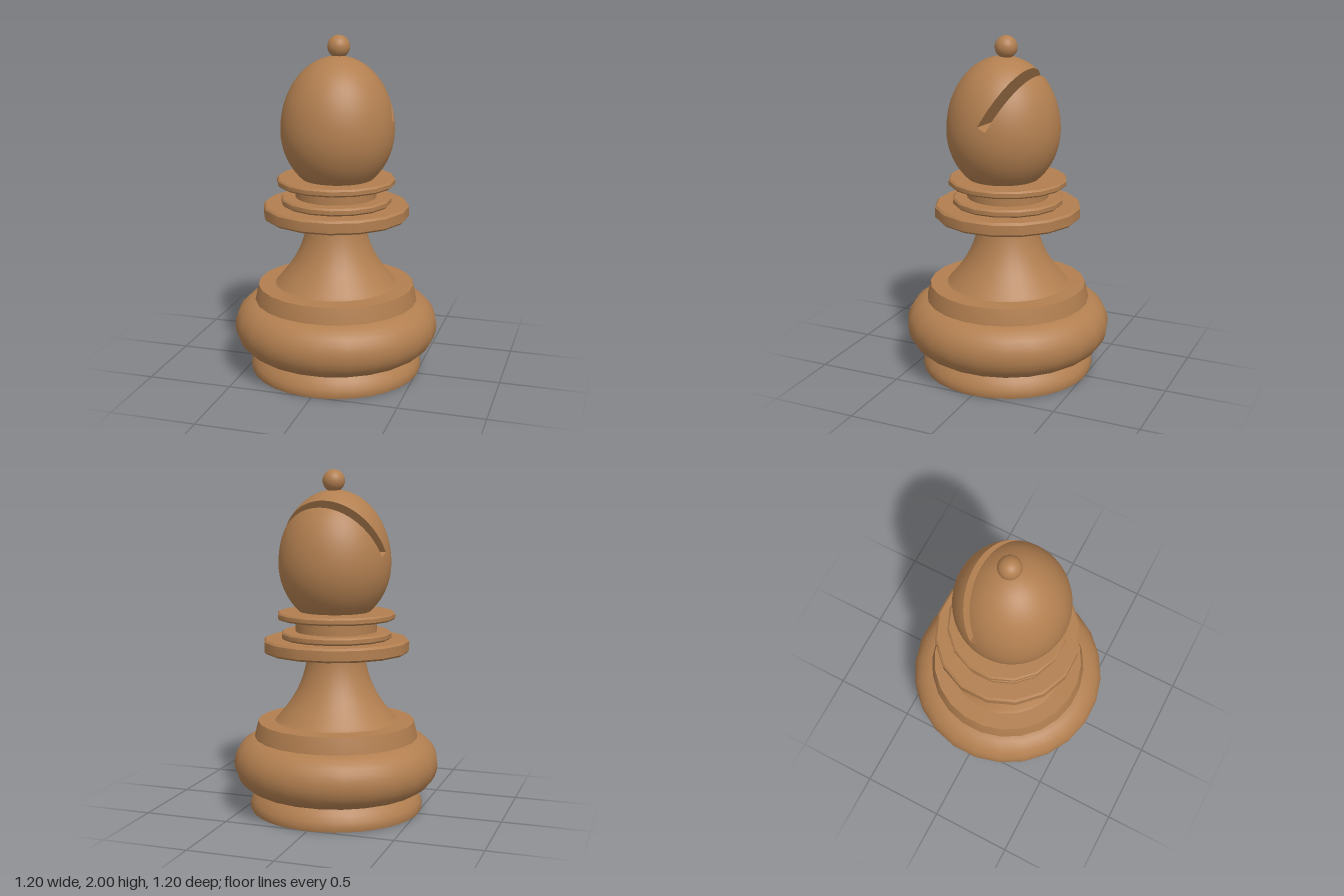
import * as THREE from 'three';
import { toCreasedNormals } from 'three/addons/utils/BufferGeometryUtils.js';

const wood = new THREE.MeshStandardMaterial({ color: 0xb27f50 });
wood.name = 'warm wood';

// Turned part from [radius, height] points, listed bottom to top
function turned(name, profile, sides) {
  const points = profile.map(([r, y]) => new THREE.Vector2(r, y));
  const lathe = new THREE.LatheGeometry(points, sides, Math.PI / sides);
  const mesh = new THREE.Mesh(toCreasedNormals(lathe, 0.6), wood);
  mesh.name = name;
  return mesh;
}

// Flat disc with a small bevel on both rims
function disc(name, r, y0, y1, bevel = 0.01) {
  return turned(name, [[0, y0], [r - bevel, y0], [r, y0 + bevel], [r, y1 - bevel], [r - bevel, y1], [0, y1]], 16);
}

// Keep the part of a polygon in front of a plane
function clip(poly, plane) {
  const out = [];
  poly.forEach((a, i) => {
    const b = poly[(i + 1) % poly.length];
    const da = plane.distanceToPoint(a.p), db = plane.distanceToPoint(b.p);
    if (da >= 0) out.push(a);
    if ((da >= 0) !== (db >= 0)) {
      const t = da / (da - db);
      out.push({ p: a.p.clone().lerp(b.p, t), n: a.n.clone().lerp(b.n, t).normalize() });
    }
  });
  return out;
}

// Egg-shaped head with a slanted slot cut through its back
function slottedHead() {
  const profile = [];
  const start = -Math.asin(0.285 / 0.365);
  for (let i = 0; i <= 28; i++) {
    const a = start + (Math.PI / 2 - start) * i / 28;
    profile.push(new THREE.Vector2(Math.max(0, 0.33 * Math.cos(a)), 1.46 + (a < 0 ? 0.365 : 0.425) * Math.sin(a)));
  }
  const egg = new THREE.LatheGeometry(profile, 48).translate(0.015, 0, 0.02);
  const { position, normal } = egg.attributes;
  const polys = [];
  for (let i = 0; i < egg.index.count; i += 3) {
    polys.push([0, 1, 2].map(k => {
      const v = egg.index.getX(i + k);
      return {
        p: new THREE.Vector3().fromBufferAttribute(position, v),
        n: new THREE.Vector3().fromBufferAttribute(normal, v),
      };
    }));
  }

  // Slot frame: across, up along the slot, and through its thickness
  const turn = new THREE.Vector3(0, 1, 0);
  const across = new THREE.Vector3(1, 0, 0).applyAxisAngle(turn, -0.09);
  const up = new THREE.Vector3(0, 0.882, -0.471).applyAxisAngle(turn, -0.09).normalize();
  const through = across.clone().cross(up).negate();
  const floorPoint = new THREE.Vector3(0.015, 1.52, -0.02);
  const half = 0.0275;
  const planeAt = (n, offset) => new THREE.Plane().setFromNormalAndCoplanarPoint(
    n, floorPoint.clone().addScaledVector(n, offset));
  const back = planeAt(through, half);
  const front = planeAt(through.clone().negate(), half);
  const above = planeAt(up, 0);
  const below = above.clone().negate();
  const gap = [back.clone().negate(), front.clone().negate()];

  const pos = [], nor = [];
  const addFan = poly => {
    for (let i = 1; i + 1 < poly.length; i++) {
      for (const v of [poly[0], poly[i], poly[i + 1]]) {
        pos.push(v.p.x, v.p.y, v.p.z);
        nor.push(v.n.x, v.n.y, v.n.z);
      }
    }
  };
  const cut = planes => polys.map(p => planes.reduce(clip, p)).filter(p => p.length > 2);

  // Outer skin on both sides of the slot and under it
  for (const region of [[back], [front], [...gap, below]]) cut(region).forEach(addFan);

  // Slot walls and floor, each a flat convex face
  for (const [face, limits] of [[back, [above]], [front, [above]], [below, gap]]) {
    const n = face.normal.clone().negate();
    const side = n.clone().cross(across);
    const rim = cut([...limits, face]).flat().map(v => v.p)
      .filter(p => Math.abs(face.distanceToPoint(p)) < 1e-6);
    const mid = rim.reduce((s, p) => s.add(p), new THREE.Vector3()).divideScalar(rim.length);
    const angle = p => {
      const d = p.clone().sub(mid);
      return Math.atan2(d.dot(side), d.dot(across));
    };
    rim.sort((a, b) => angle(a) - angle(b));
    addFan([mid, ...rim, rim[0]].map(p => ({ p, n })));
  }

  const geometry = new THREE.BufferGeometry();
  geometry.setAttribute('position', new THREE.Float32BufferAttribute(pos, 3));
  geometry.setAttribute('normal', new THREE.Float32BufferAttribute(nor, 3));
  const mesh = new THREE.Mesh(geometry, wood);
  mesh.name = 'slottedHead';
  return mesh;
}

export function createModel() {
  const group = new THREE.Group();
  group.name = 'chessPiece';

  // Foot and rounded base
  group.add(turned('foot', [[0, 0], [0.508, 0], [0.515, 0.025], [0.508, 0.055], [0.49, 0.09], [0.46, 0.125]], 32));
  const bulge = [[0, 0.12]];
  for (let i = 0; i <= 14; i++) {
    const a = Math.PI * (i / 14 - 0.5);
    bulge.push([0.447 + 0.16 * Math.cos(a), 0.28 + 0.16 * Math.sin(a)]);
  }
  group.add(turned('roundedBase', bulge, 24));
  group.add(turned('baseCollar', [[0.485, 0.43], [0.483, 0.445], [0.463, 0.53], [0, 0.535]], 24));

  // Flared stem
  const flare = new THREE.SplineCurve([
    [0.362, 0.533], [0.342, 0.555], [0.265, 0.655], [0.214, 0.75], [0.182, 0.85], [0.17, 0.95],
  ].map(([x, y]) => new THREE.Vector2(x, y)));
  group.add(turned('stem', flare.getPoints(16).map(p => [p.x, p.y]), 32));

  // Stacked collars and neck
  group.add(disc('wideCollar', 0.43, 0.94, 1.02, 0.012));
  group.add(disc('middleCollar', 0.325, 1.02, 1.063));
  group.add(turned('neck', [[0.24, 1.06], [0.24, 1.14]], 24));
  group.add(disc('upperCollar', 0.348, 1.135, 1.177));

  // Head and finial
  group.add(slottedHead());
  const finial = new THREE.Mesh(new THREE.SphereGeometry(0.065, 32, 20), wood);
  finial.name = 'finial';
  finial.position.set(0.016, 1.935, 0.003);
  group.add(finial);

  return group;
}
